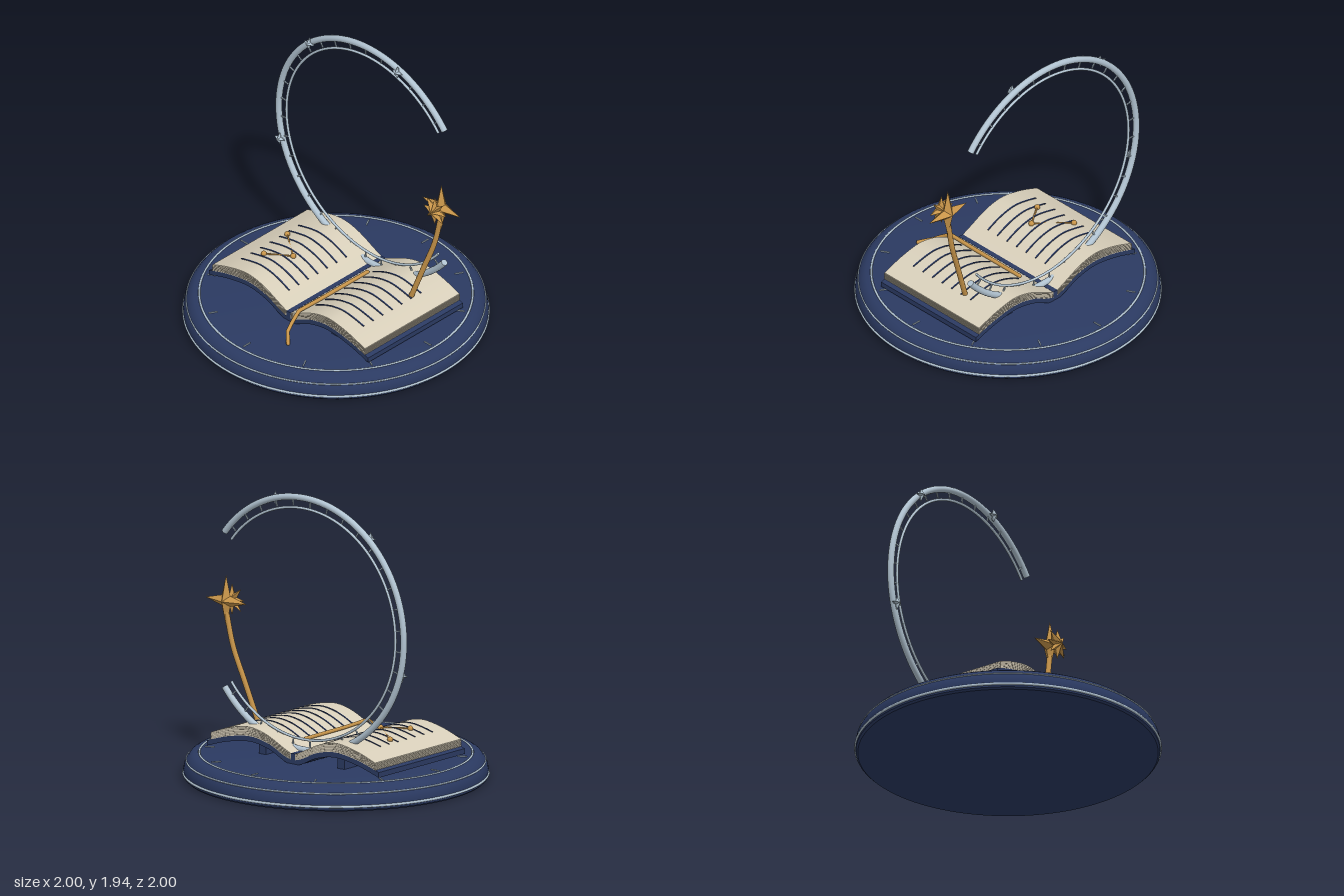
import * as THREE from 'three';
import { toCreasedNormals } from 'three/addons/utils/BufferGeometryUtils.js';

const paint = (name, hex) => {
  const m = new THREE.MeshStandardMaterial({ color: hex });
  m.name = name;
  return m;
};

export function createModel() {
  const navy = paint('navy', 0x2b3a62);
  const silver = paint('silver', 0xb2c4d2);
  const gold = paint('gold', 0xc8954a);
  const cream = paint('cream', 0xd8cfba);
  const pageShade = paint('page shade', 0x9c9484);

  const root = new THREE.Group();
  root.name = 'bookAndStarWand';
  const add = (name, geo, mat, parent = root) => {
    const m = new THREE.Mesh(geo, mat);
    m.name = name;
    parent.add(m);
    return m;
  };
  const group = (name) => {
    const g = new THREE.Group();
    g.name = name;
    root.add(g);
    return g;
  };
  const v3 = (p) => new THREE.Vector3(...p);

  // Round base with silver trims and a dial of twelve marks
  const profile = [[0, 0], [0.975, 0], [0.988, 0.012], [0.992, 0.05], [0.985, 0.09], [0.97, 0.12],
    [0.95, 0.145], [0.925, 0.16], [0.89, 0.166], [0, 0.166]].map((p) => new THREE.Vector2(...p));
  add('base', toCreasedNormals(new THREE.LatheGeometry(profile, 96), 0.6), navy);
  const ring = (name, r, tube, y) => {
    const m = add(name, new THREE.TorusGeometry(r, tube, 8, 96), silver);
    m.rotation.x = Math.PI / 2;
    m.position.y = y;
  };
  ring('lowerTrim', 0.99, 0.009, 0.033);
  ring('upperTrim', 0.972, 0.006, 0.115);
  ring('dialRing', 0.888, 0.007, 0.166);
  const dial = group('dialMarks');
  for (let i = 0; i < 12; i++) {
    const a = (i * Math.PI) / 6;
    const m = add('dialMark', new THREE.BoxGeometry(0.06, 0.008, 0.008), silver, dial);
    m.position.set(0.83 * Math.cos(a), 0.168, 0.83 * Math.sin(a));
    m.rotation.y = -a;
  }

  // Height curves of the open book, from the spine outwards
  const heightCurve = (pts) => {
    const s = new THREE.SplineCurve(pts.map((p) => new THREE.Vector2(...p))).getPoints(60);
    return (x) => {
      let i = 1;
      while (i < s.length - 1 && s[i].x < x) i++;
      const t = (x - s[i - 1].x) / (s[i].x - s[i - 1].x);
      return s[i - 1].y + t * (s[i].y - s[i - 1].y);
    };
  };
  const pageTop = heightCurve([[0.01, 0.23], [0.08, 0.262], [0.2, 0.32], [0.3, 0.35], [0.4, 0.356], [0.55, 0.325], [0.7, 0.272]]);
  const coverTop = heightCurve([[0, 0.188], [0.08, 0.212], [0.2, 0.268], [0.36, 0.296], [0.55, 0.268], [0.73, 0.213]]);

  // Curved slab between two height curves, side is 1 or -1
  const band = (side, x0, x1, z0, z1, low, high) => {
    const n = 24, upper = [], lower = [];
    for (let i = 0; i <= n; i++) {
      const x = x0 + ((x1 - x0) * i) / n;
      upper.push(new THREE.Vector2(side * x, high(x)));
      lower.unshift(new THREE.Vector2(side * x, low(x)));
    }
    const g = new THREE.ExtrudeGeometry(new THREE.Shape([...upper, ...lower]), { depth: z1 - z0, bevelEnabled: false });
    g.translate(0, 0, z0);
    return toCreasedNormals(g, 0.5);
  };

  // Book: covers, pages, leaf edges, written lines and supports
  const book = group('book');
  add('spine', new THREE.BoxGeometry(0.036, 0.07, 0.88), navy, book).position.y = 0.2;
  for (const s of [1, -1]) {
    add('cover', band(s, 0.005, 0.72, -0.44, 0.44, (x) => coverTop(x) - 0.035, coverTop), navy, book);
    add('pages', band(s, 0.018, 0.69, -0.44, 0.44, coverTop, pageTop), cream, book);
    for (const f of [0.12, 0.3, 0.48, 0.66, 0.84]) {
      const h = (x) => coverTop(x) + f * (pageTop(x) - coverTop(x));
      add('leafEdge', band(s, 0.02, 0.692, -0.442, 0.442, (x) => h(x) - 0.002, (x) => h(x) + 0.002), pageShade, book);
    }
    for (let i = 0; i < 7; i++) {
      const z = -0.22 + i * 0.0885;
      add('writtenLine', band(s, 0.12, 0.555, z - 0.005, z + 0.005, pageTop, (x) => pageTop(x) + 0.004), navy, book);
    }
    add('support', new THREE.BoxGeometry(0.056, 0.1, 0.7), navy, book).position.set(s * 0.33, 0.21, 0);
  }

  // Small star chart on one page
  const chart = group('starChart');
  const dots = [[-0.52, -0.08], [-0.3, 0.09], [-0.46, 0.2]].map(([x, z]) => new THREE.Vector3(x, pageTop(-x) + 0.008, z));
  dots.forEach((p, i) => {
    add('chartStar', new THREE.SphereGeometry(0.019, 16, 12), gold, chart).position.copy(p);
    if (i) add('chartLine', new THREE.TubeGeometry(new THREE.LineCurve3(dots[i - 1], p), 4, 0.006, 6), gold, chart);
  });

  // Ribbon bookmark lying on the page and hanging over the front edge
  const ribbon = new THREE.CurvePath();
  const ribbonPts = [[0.09, 0.278, -0.2], [0.09, 0.28, 0.2], [0.093, 0.288, 0.44], [0.105, 0.235, 0.52],
    [0.118, 0.2, 0.57], [0.19, 0.175, 0.64]].map(v3);
  for (let i = 1; i < ribbonPts.length; i++) ribbon.add(new THREE.LineCurve3(ribbonPts[i - 1], ribbonPts[i]));
  const bookmark = add('bookmark', new THREE.TubeGeometry(ribbon, 60, 0.013, 8), gold);
  for (const [k, dir] of [[0, -1], [5, 1]]) {
    add('bookmarkEnd', new THREE.SphereGeometry(0.013, 10, 8), gold, bookmark).position.copy(ribbonPts[k]);
  }

  // Faceted star with a raised centre on both sides
  const star = (points, outer, inner, depth) => {
    const pos = [], n = points * 2;
    const corner = (i) => {
      const a = Math.PI / 2 + (i * Math.PI) / points, r = i % 2 ? inner : outer;
      return [r * Math.cos(a), r * Math.sin(a), 0];
    };
    for (let i = 0; i < n; i++) {
      pos.push(...corner(i), ...corner(i + 1), 0, 0, depth);
      pos.push(...corner(i + 1), ...corner(i), 0, 0, -depth);
    }
    const g = new THREE.BufferGeometry();
    g.setAttribute('position', new THREE.Float32BufferAttribute(pos, 3));
    g.computeVertexNormals();
    return g;
  };

  // Open double hoop standing behind the pages
  const hoop = group('hoop');
  hoop.position.set(0, 1.08, -0.33);
  const start = THREE.MathUtils.degToRad(38), sweep = 2 * Math.PI - 2 * start;
  for (const [name, r, tube] of [['outerHoop', 0.84, 0.022], ['innerHoop', 0.77, 0.009]]) {
    add(name, new THREE.TorusGeometry(r, tube, 12, 96, sweep), silver, hoop).rotation.z = start;
    for (const [a, turn] of [[start, 1], [start + sweep, -1]]) {
      const cap = add('hoopEnd', new THREE.CircleGeometry(tube, 12).rotateX((turn * Math.PI) / 2), silver, hoop);
      cap.position.set(r * Math.cos(a), r * Math.sin(a), 0);
      cap.rotation.z = a;
    }
  }
  for (let i = 0; i < 28; i++) {
    const a = start + ((i + 0.5) * sweep) / 28;
    const m = add('hoopMark', new THREE.BoxGeometry(0.045, 0.008, 0.008), silver, hoop);
    m.position.set(0.804 * Math.cos(a), 0.804 * Math.sin(a), 0);
    m.rotation.z = a;
  }
  for (const deg of [72, 130, 196]) {
    const a = THREE.MathUtils.degToRad(deg);
    add('hoopStar', star(4, 0.046, 0.015, 0.03), silver, hoop)
      .position.set(0.84 * Math.cos(a), 0.84 * Math.sin(a), 0.025);
  }

  // Star-tipped wand rising from the page
  const wand = group('wand');
  const stem = new THREE.CatmullRomCurve3([[0.535, 0.325, -0.15], [0.62, 0.57, -0.175], [0.7, 0.8, -0.198], [0.75, 1.04, -0.21]].map(v3));
  add('stem', new THREE.TubeGeometry(stem, 32, 0.018, 10), gold, wand);
  add('largeStar', star(4, 0.173, 0.05, 0.046), gold, wand).position.set(0.75, 1.1, -0.21);
  add('smallStar', star(8, 0.105, 0.045, 0.042), gold, wand).position.set(0.75, 1.1, -0.15);

  return root;
}
